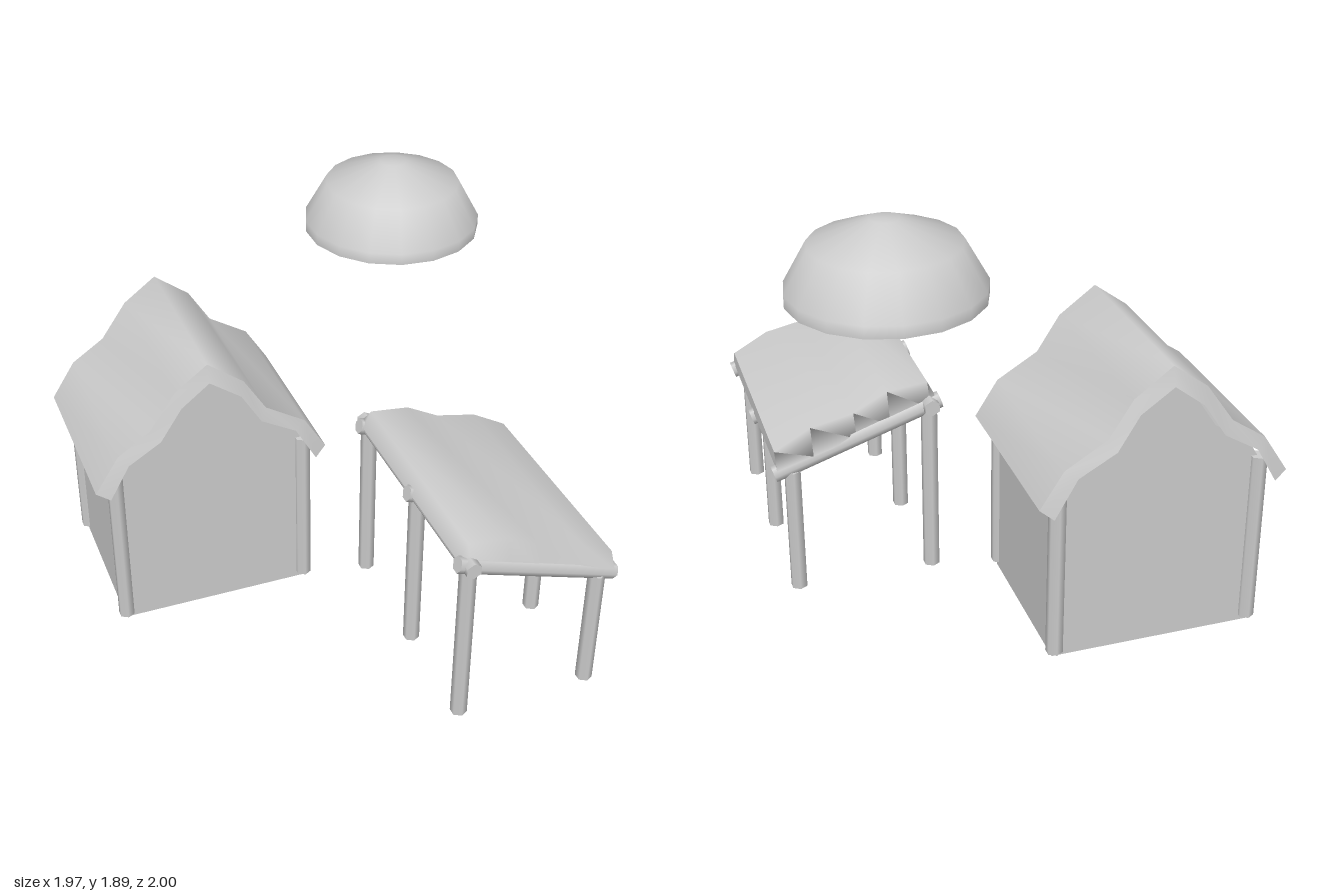
import * as THREE from 'three';

const grey = new THREE.MeshStandardMaterial({ color: 0xcccccc });
const sheet = new THREE.MeshStandardMaterial({ color: 0xcccccc, side: THREE.DoubleSide });

function mesh(name, geometry, material = grey) {
  const m = new THREE.Mesh(geometry, material);
  m.name = name;
  return m;
}

// Smooth skin joining rows of equally many [x, y, z] points
function loft(name, rows) {
  const n = rows[0].length;
  const index = [];
  for (let r = 0; r < rows.length - 1; r++) {
    for (let i = 0; i < n - 1; i++) {
      const a = r * n + i, b = a + n;
      index.push(a, b, a + 1, b, b + 1, a + 1);
    }
  }
  const g = new THREE.BufferGeometry();
  g.setAttribute('position', new THREE.Float32BufferAttribute(rows.flat(2), 3));
  g.setIndex(index);
  g.computeVertexNormals();
  return mesh(name, g, sheet);
}

// Round timber between two points
function pole(name, from, to, radius = 0.037) {
  const a = new THREE.Vector3(...from), b = new THREE.Vector3(...to);
  const dir = b.clone().sub(a);
  const m = mesh(name, new THREE.CylinderGeometry(radius, radius, dir.length(), 6));
  m.position.copy(a).add(b).multiplyScalar(0.5);
  m.quaternion.setFromUnitVectors(new THREE.Vector3(0, 1, 0), dir.normalize());
  return m;
}

const atZ = (profile, z) => profile.map(([x, y]) => [x, y, z]);

function createHouse() {
  const house = new THREE.Group();
  house.name = 'house';

  // Wavy roof profiles, upper skin and lower rim
  const outer = [[-0.99, 0.76], [-0.88, 0.93], [-0.73, 1.03], [-0.61, 1.2], [-0.46, 1.31],
    [-0.3, 1.19], [-0.2, 1.03], [-0.02, 0.92], [0.08, 0.76]];
  const inner = [[-0.93, 0.73], [-0.84, 0.89], [-0.69, 0.98], [-0.59, 1.13], [-0.46, 1.23],
    [-0.32, 1.13], [-0.23, 0.98], [-0.07, 0.89], [0.025, 0.72]];

  // Walls with gables that fill the roof
  const walls = [[-0.9, 0], [-0.9, 0.79], ...inner.slice(1, -1), [-0.01, 0.79], [-0.01, 0]];
  const shape = new THREE.Shape(walls.map(([x, y]) => new THREE.Vector2(x, y)));
  const body = mesh('walls', new THREE.ExtrudeGeometry(shape, { depth: 0.73, bevelEnabled: false }));
  body.position.z = -0.91;
  house.add(body);

  // Roof skin and the slanted rims at both gables
  house.add(
    loft('houseRoof', [atZ(outer, -0.145), atZ(outer, -0.975)]),
    loft('roofRimFront', [atZ(inner, -0.12), atZ(outer, -0.145)]),
    loft('roofRimBack', [atZ(outer, -0.975), atZ(inner, -1)]),
  );

  // Corner posts
  for (const x of [-0.895, -0.02])
    for (const z of [-0.18, -0.91])
      house.add(pole('cornerPost', [x, 0.025, z], [x, 0.81, z]));
  return house;
}

function createShelter() {
  const shelter = new THREE.Group();
  shelter.name = 'shelter';

  // Wavy upper surface over a flat sloping underside
  const top = [[0.24, 0.85], [0.28, 0.93], [0.46, 0.91], [0.61, 0.83], [0.8, 0.79], [0.96, 0.7]];
  const base = top.map(([x]) => [x, 0.84 - (x - 0.24) * 0.29]);
  const rows = [atZ(base, 0.97), atZ(top, 0.93), atZ(top, -0.09), atZ(base, -0.14), atZ(base, 0.97)];
  shelter.add(loft('shelterRoof', rows));
  for (const i of [0, top.length - 1])
    shelter.add(loft('shelterRoofEdge', [[rows[0][i], rows[1][i]], [rows[3][i], rows[2][i]]]));

  // Three frames of a tall post, a short post and a sloping rafter
  for (const z of [0.945, 0.435, -0.11]) {
    shelter.add(
      pole('tallPost', [0.28, 0.025, z], [0.28, 0.81, z]),
      pole('shortPost', [0.89, 0.025, z], [0.89, 0.61, z]),
      pole('rafter', [0.23, 0.85, z], [0.97, 0.605, z]),
    );
  }
  shelter.add(pole('ridgeBeam', [0.28, 0.84, -0.17], [0.28, 0.84, 1]));
  return shelter;
}

function createDome() {
  // Open shell floating above
  const profile = [[0.395, 1.58], [0.395, 1.63], [0.3, 1.8], [0.06, 1.895], [0, 1.895]]
    .map(([r, y]) => new THREE.Vector2(r, y));
  const dome = mesh('dome', new THREE.LatheGeometry(profile, 17, Math.PI / 2), sheet);
  dome.position.set(0.57, 0, -0.59);
  return dome;
}

export function createModel() {
  const model = new THREE.Group();
  model.name = 'thatchedBuildings';
  model.add(createHouse(), createShelter(), createDome());
  return model;
}
